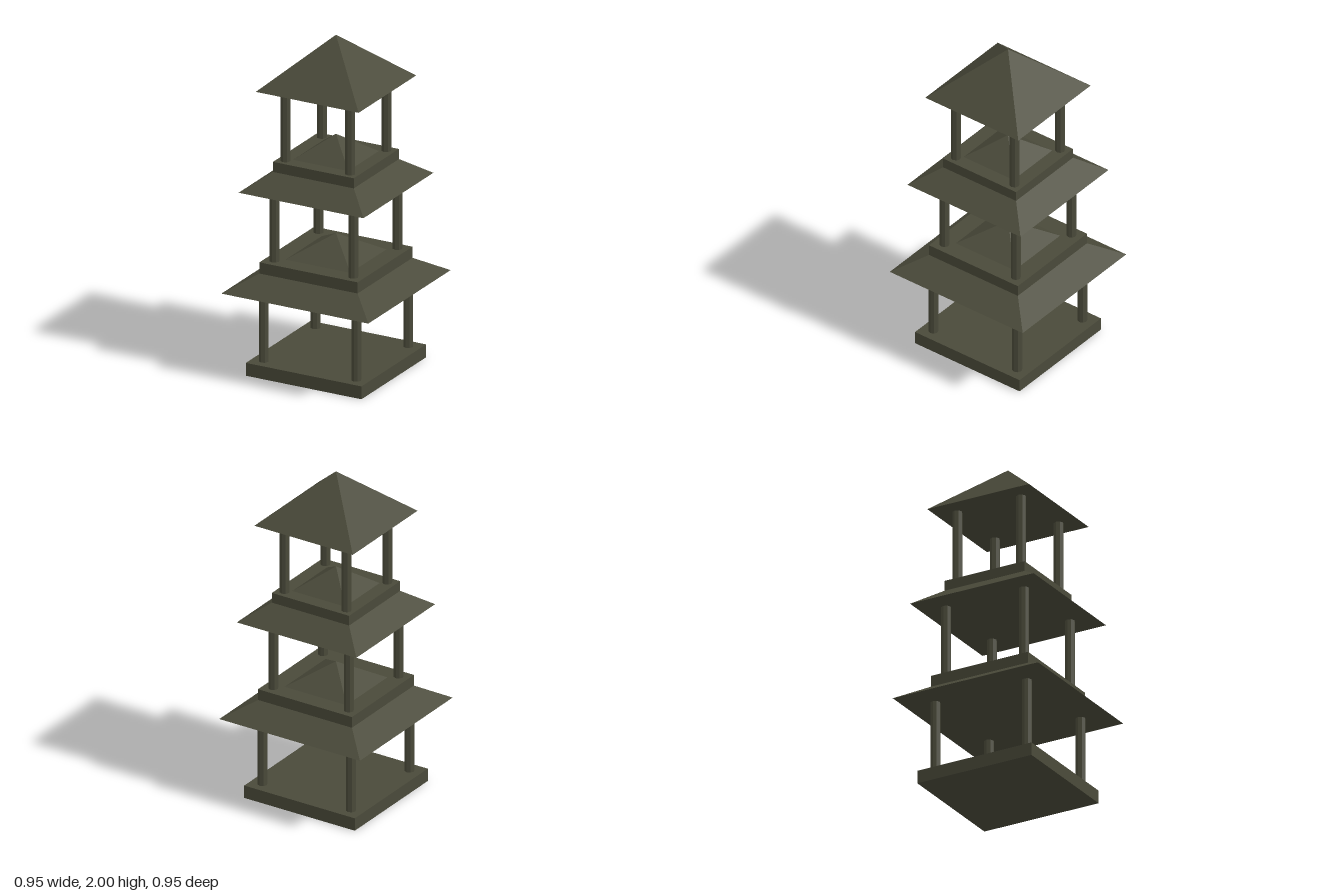
import * as THREE from 'three';

const TIER_STEP = 0.5975;   // height from one tier to the next
const SLAB_HEIGHT = 0.0775;
const EAVE = 0.51;          // eave height above the tier's floor
const ROOF_HEIGHT = 0.295;

export function createModel() {
  const model = new THREE.Group();
  model.name = 'pagoda';
  const olive = new THREE.MeshStandardMaterial({ color: 0x4a4a3a, flatShading: true });
  olive.name = 'dark olive';

  const add = (parent, name, geometry, x, y, z) => {
    const mesh = new THREE.Mesh(geometry, olive);
    mesh.name = name;
    mesh.position.set(x, y, z);
    parent.add(mesh);
  };

  // Half widths of each tier's slab, pillar square and roof
  const tiers = [
    { name: 'lowerTier', slab: 0.372, pillar: 0.298, roof: 0.473 },
    { name: 'middleTier', slab: 0.316, pillar: 0.254, roof: 0.402 },
    { name: 'upperTier', slab: 0.26, pillar: 0.208, roof: 0.331 },
  ];

  tiers.forEach((t, i) => {
    const tier = new THREE.Group();
    tier.name = t.name;
    tier.position.y = i * TIER_STEP;
    model.add(tier);

    // Square floor slab
    add(tier, 'floorSlab', new THREE.BoxGeometry(t.slab * 2, SLAB_HEIGHT, t.slab * 2), 0, SLAB_HEIGHT / 2, 0);

    // Four corner pillars
    const height = EAVE - SLAB_HEIGHT;
    const pillar = new THREE.CylinderGeometry(0.029, 0.029, height, 8);
    for (const x of [-1, 1]) {
      for (const z of [-1, 1]) {
        add(tier, 'pillar', pillar, x * t.pillar, SLAB_HEIGHT + height / 2, z * t.pillar);
      }
    }

    // Four-sided pyramid roof, turned square to the front
    const roof = new THREE.ConeGeometry(t.roof * Math.SQRT2, ROOF_HEIGHT, 4).rotateY(Math.PI / 4);
    add(tier, 'roof', roof, 0, EAVE + ROOF_HEIGHT / 2, 0);
  });

  return model;
}
